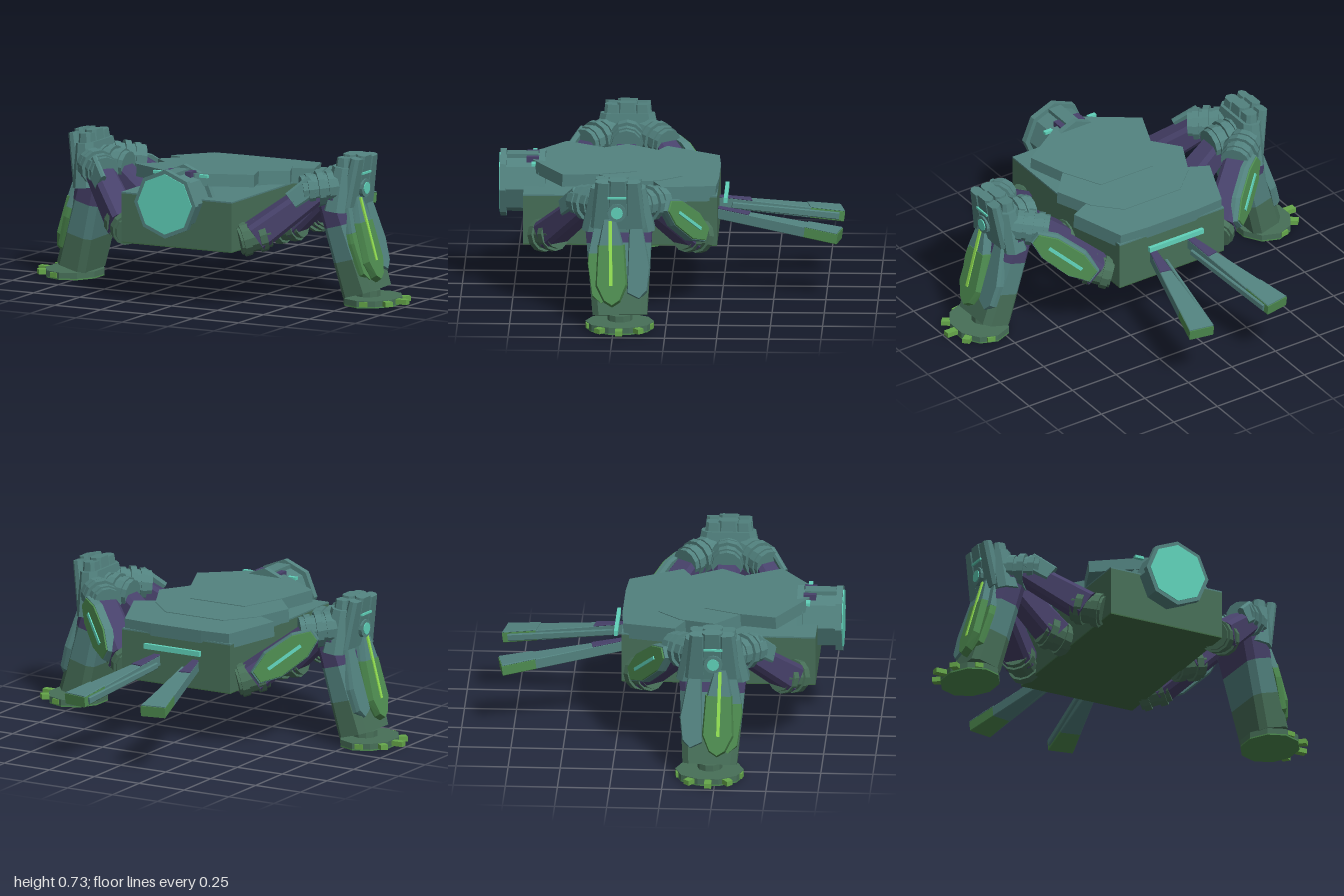
import * as THREE from 'three';
import { ConvexGeometry } from 'three/addons/geometries/ConvexGeometry.js';

const V = (x, y, z) => new THREE.Vector3(x, y, z);

export function createModel() {
  const root = new THREE.Group();
  root.name = 'walker';
  const mat = (name, color) => Object.assign(new THREE.MeshStandardMaterial({ color }), { name });
  const teal = mat('teal', 0x52827f), hull = mat('hull green', 0x476f58), green = mat('green', 0x4e8c50);
  const purple = mat('purple', 0x47416a), cyan = mat('cyan glow', 0x60d2ba), lime = mat('lime glow', 0x92e052);
  const belly = mat('belly green', 0x3f6b45), toeGreen = mat('toe green', 0x66a84a);

  // Faceted mesh
  function add(parent, name, geo, material) {
    const g = geo.index ? geo.toNonIndexed() : geo;
    g.computeVertexNormals();
    const m = new THREE.Mesh(g, material);
    m.name = name;
    parent.add(m);
    return m;
  }
  // Local axes: along a-b, thickness towards ref, width across both
  function frame(a, b, ref) {
    const dir = b.clone().sub(a).normalize();
    const side = dir.clone().cross(ref).normalize();
    return { dir, side, out: side.clone().cross(dir).normalize() };
  }
  // Chamfered tapered bar from a to b
  function bar(a, b, ref, [wa, ta], [wb, tb], c = 0.015) {
    const f = frame(a, b, ref), pts = [];
    for (const [p, w, t] of [[a, wa / 2, ta / 2], [b, wb / 2, tb / 2]])
      for (const su of [-1, 1]) for (const sv of [-1, 1])
        for (const [u, v] of [[w - c, t], [w, t - c]])
          pts.push(p.clone().addScaledVector(f.side, su * u).addScaledVector(f.out, sv * v));
    return new ConvexGeometry(pts);
  }
  // Convex armour panel: outline of [across, along], bevelled on its outer face
  function panel(a, b, ref, outline, t0, t1, inset = 0.85) {
    const f = frame(a, b, ref), len = a.distanceTo(b), pts = [];
    const cu = outline.reduce((s, p) => s + p[0], 0) / outline.length;
    for (const [t, k] of [[t0, 1], [(t0 + t1) / 2, 1], [t1, inset]])
      for (const [u, v] of outline)
        pts.push(a.clone().addScaledVector(f.side, cu + (u - cu) * k)
          .addScaledVector(f.dir, (0.5 + (v - 0.5) * (k + 1) / 2) * len).addScaledVector(f.out, t));
    return new ConvexGeometry(pts);
  }
  // Cylinder centred at p along a direction
  function drum(p, dir, r, len, sides = 12) {
    const q = new THREE.Quaternion().setFromUnitVectors(V(0, 1, 0), dir.clone().normalize());
    return new THREE.CylinderGeometry(r, r, len, sides).applyQuaternion(q).translate(p.x, p.y, p.z);
  }
  const box = (w, h, d, x, y, z) => new THREE.BoxGeometry(w, h, d).translate(x, y, z);

  // Body
  add(root, 'body', box(0.6, 0.235, 0.93, 0, 0.3975, 0.235), hull);
  add(root, 'deck', box(0.6, 0.008, 0.93, 0, 0.518, 0.235), teal);
  add(root, 'belly', box(0.6, 0.006, 0.93, 0, 0.278, 0.235), belly);

  // Three overlapping back plates, sloping down to the rear
  const plates = [
    ['rearPlate', [[0.14, -0.235], [0.29, -0.225], [0.39, 0.03], [0.28, 0.08], [0.2, 0.3]], 0.585, 0.075],
    ['middlePlate', [[0.16, -0.06], [0.28, 0.05], [0.36, 0.22], [0.25, 0.34], [0.15, 0.45]], 0.588, 0.065],
    ['frontPlate', [[0.15, 0.16], [0.25, 0.33], [0.32, 0.51], [0.08, 0.66]], 0.591, 0.06],
  ];
  for (const [name, half, y, depth] of plates) {
    const loop = [...half, ...half.map(([x, z]) => [-x, z]).reverse()];
    const geo = new THREE.ExtrudeGeometry(new THREE.Shape(loop.map(([x, z]) => new THREE.Vector2(x, z))),
      { depth, bevelEnabled: false });
    add(root, name, geo.rotateX(Math.PI / 2).rotateX(-0.07).translate(0, y, 0), teal);
  }

  // Octagonal eye at the front
  const zAxis = V(0, 0, 1);
  add(root, 'eyeBarrel', drum(V(0, 0.505, 0.7), zAxis, 0.143, 0.19, 8), teal);
  add(root, 'eyeRim', drum(V(0, 0.505, 0.802), zAxis, 0.167, 0.03, 8), teal);
  add(root, 'eyeRearRim', drum(V(0, 0.505, 0.615), zAxis, 0.165, 0.03, 8), teal);
  add(root, 'eyeLens', drum(V(0, 0.505, 0.817), zAxis, 0.147, 0.008, 8), cyan);
  add(root, 'eyeClamp', box(0.07, 0.03, 0.15, 0, 0.638, 0.71), teal);

  // Glowing bar at the rear
  add(root, 'rearLight', box(0.31, 0.025, 0.018, 0, 0.462, -0.266), cyan);

  // Everything on the +x side
  const left = new THREE.Group();
  left.name = 'leftSide';
  root.add(left);
  const part = (name, geo, material) => add(left, name, geo, material);

  part('eyeClampSide', box(0.03, 0.03, 0.06, 0.055, 0.632, 0.66), purple);
  part('eyeClampLight', box(0.045, 0.014, 0.02, 0.125, 0.627, 0.655), cyan);

  // Tail blade: green end, with a teal and purple top skin
  const up = V(0, 1, 0), t0 = V(0.105, 0.39, -0.22), t1 = V(0.217, 0.306, -0.815);
  const tailAt = (k, y = 0) => t0.clone().lerp(t1, k).add(V(0, y, 0)), tailW = (k) => 0.035 + 0.09 * k;
  for (const [name, k0, k1, y, t, m] of [
    ['tailBlade', 0, 0.73, 0, 0.052, teal], ['tailTip', 0.73, 1, 0, 0.052, green],
    ['tailRootSkin', 0, 0.27, 0.027, 0.008, purple], ['tailTipSkin', 0.73, 1, 0.027, 0.008, teal]])
    part(name, bar(tailAt(k0, y), tailAt(k1, y), up, [tailW(k0), t], [tailW(k1), t], 0.003), m);
  part('tailInnerStrip', bar(V(0.073, 0.38, -0.29), V(0.15, 0.31, -0.8), up, [0.016, 0.03], [0.016, 0.035], 0.004), teal);

  // Three arms meeting at the knee
  for (const k of [-1, 0, 1]) {
    const name = ['rear', 'middle', 'front'][k + 1];
    const hip = V(0.355, 0.34, 0.23 + 0.345 * k), elbow = V(0.605, 0.565, 0.23 + 0.145 * k);
    const arm = elbow.clone().sub(hip), flat = V(arm.x, 0, arm.z).normalize();
    part(name + 'Arm', bar(hip, elbow, up, [0.14, 0.14], [0.12, 0.11], 0.02), purple);
    // Hip drum with rings
    const hipAxis = V(flat.x, 0.25, flat.z).normalize();
    part(name + 'Hip', drum(hip, hipAxis, 0.07, 0.15), hull);
    for (const d of [-0.045, 0.035])
      part(name + 'HipRing', drum(hip.clone().addScaledVector(hipAxis, d), hipAxis, 0.082, 0.035), hull);
    // Elbow drum with rings
    const axis = V(flat.x, 0.1, flat.z).normalize();
    part(name + 'Elbow', drum(elbow, axis, 0.072, 0.18), teal);
    for (const d of [-0.05, 0, 0.05])
      part(name + 'ElbowRing', drum(elbow.clone().addScaledVector(axis, d), axis, d ? 0.08 : 0.088, 0.03), teal);
    // Armour on the outer faces of the arm
    if (k > 0) {
      const s = V(0, 0.03, 0.06);
      part('frontArmShell', bar(hip.clone().lerp(elbow, 0.65).add(s), elbow.clone().add(s), V(0.3, 0, 1), [0.09, 0.03], [0.1, 0.03], 0.01), teal);
    }
    if (k < 0) {
      const ref = V(0.5, 0.05, -1);
      const hex = [[-0.035, 0], [0.035, 0], [0.075, 0.3], [0.07, 0.75], [0.03, 1], [-0.03, 1], [-0.07, 0.75], [-0.075, 0.3]];
      const a = hip.clone().lerp(elbow, 0.02), b = hip.clone().lerp(elbow, 0.95);
      part('rearArmShell', panel(a, b, ref, hex, 0.055, 0.097, 0.93), teal);
      part('rearArmPanel', panel(a, b, ref, hex.map(([u, v]) => [u * 0.9, 0.5 + (v - 0.5) * 0.93]), 0.096, 0.104, 0.97), green);
      part('rearArmLight', panel(a, b, ref, [[-0.008, 0.22], [0.008, 0.22], [0.008, 0.75], [-0.008, 0.75]], 0.103, 0.11, 1), cyan);
    }
  }

  // Knee housing
  const xAxis = V(1, 0, 0);
  part('kneeBlock', bar(V(0.68, 0.46, 0.23), V(0.7, 0.67, 0.23), xAxis, [0.35, 0.12], [0.26, 0.1], 0.03), teal);
  for (const [z, w, h] of [[0.15, 0.085, 0.712], [0.23, 0.105, 0.722], [0.31, 0.085, 0.712]]) {
    const lean = (0.23 - z) * 0.12;
    part('kneeInnerFin', bar(V(0.69, 0.5, z), V(0.702, h, z + lean), xAxis, [w + 0.02, 0.09], [w - 0.01, 0.06], 0.015), teal);
    part('kneeOuterFin', bar(V(0.725, 0.48, z), V(0.768, h, z + lean), xAxis, [w + 0.02, 0.06], [w - 0.01, 0.048], 0.015), teal);
  }
  part('kneeHub', drum(V(0.758, 0.56, 0.235), xAxis, 0.045, 0.05), teal);
  part('kneeLight', drum(V(0.784, 0.56, 0.235), xAxis, 0.029, 0.008), cyan);
  part('kneeStripe', box(0.009, 0.01, 0.09, 0.783, 0.635, 0.235), cyan);

  // Leg core: purple thigh, teal shin, green ankle
  const l0 = V(0.645, 0.53, 0.23), l1 = V(0.778, 0.055, 0.22);
  const legAt = (k) => l0.clone().lerp(l1, k), legW = (k) => [0.33 - 0.07 * k, 0.13 + 0.03 * k];
  for (const [name, a, b, m] of [['thigh', 0, 0.3, purple], ['shin', 0.3, 0.65, teal], ['ankle', 0.65, 1, hull]])
    part(name, bar(legAt(a), legAt(b), xAxis, legW(a), legW(b), 0.03), m);

  // Leg armour outlines as [z, along the leg]
  const sz = Math.sign(frame(l0, l1, xAxis).side.z);
  const shape = (pts) => pts.map(([z, v]) => [sz * (z - 0.225), v]);
  const armour = [
    ['rearShinPlate', [[0.17, 0], [0.12, 0.03], [0.075, 0.55], [0.09, 0.78], [0.13, 0.86], [0.19, 0.8]], 0.05, 0.09, teal, 0.9],
    ['frontThighPlate', [[0.3, 0], [0.33, 0.03], [0.37, 0.4], [0.26, 0.4]], 0.05, 0.082, teal, 0.96],
    ['frontShinPlate', [[0.26, 0.4], [0.37, 0.4], [0.375, 0.5], [0.355, 0.82], [0.31, 0.9], [0.26, 0.8]], 0.05, 0.082, green, 0.94],
    ['kneecapPlate', [[0.24, 0.02], [0.29, 0.02], [0.325, 0.34], [0.2, 0.34]], 0.055, 0.112, teal, 0.9],
    ['shinGuard', [[0.195, 0.32], [0.325, 0.32], [0.338, 0.72], [0.3, 0.88], [0.26, 0.93], [0.22, 0.88], [0.185, 0.72]], 0.055, 0.115, green, 0.9],
    ['shinLight', [[0.255, 0.09], [0.271, 0.09], [0.271, 0.72], [0.255, 0.72]], 0.111, 0.12, lime, 1],
  ];
  for (const [name, pts, a, b, m, inset] of armour) part(name, panel(l0, l1, xAxis, shape(pts), a, b, inset), m);

  // Foot with toes
  part('foot', new THREE.CylinderGeometry(0.165, 0.165, 0.028, 10).scale(0.85, 1, 1).translate(0.81, 0.021, 0.22), hull);
  part('footSole', new THREE.CylinderGeometry(0.165, 0.165, 0.007, 10).scale(0.85, 1, 1).translate(0.81, 0.0035, 0.22), green);
  part('footJoint', new THREE.CylinderGeometry(0.06, 0.06, 0.04, 10).translate(0.785, 0.045, 0.22), hull);
  for (const deg of [-80, -40, 0, 40, 80]) {
    const toe = new THREE.BoxGeometry(0.07, 0.024, 0.04).translate(0.155, 0, 0).rotateY(deg * Math.PI / 180);
    part('toe', toe.scale(1, 1, 0.86).translate(0.81, 0.02, 0.22), toeGreen);
  }

  // Mirrored copy with corner order reversed
  const right = new THREE.Group();
  right.name = 'rightSide';
  for (const m of left.children) {
    const g = m.geometry.clone().scale(-1, 1, 1), p = g.attributes.position, a = V(0, 0, 0), b = V(0, 0, 0);
    for (let i = 0; i < p.count; i += 3) {
      a.fromBufferAttribute(p, i + 1);
      b.fromBufferAttribute(p, i + 2);
      p.setXYZ(i + 1, b.x, b.y, b.z);
      p.setXYZ(i + 2, a.x, a.y, a.z);
    }
    add(right, m.name, g, m.material);
  }
  root.add(right);
  return root;
}
